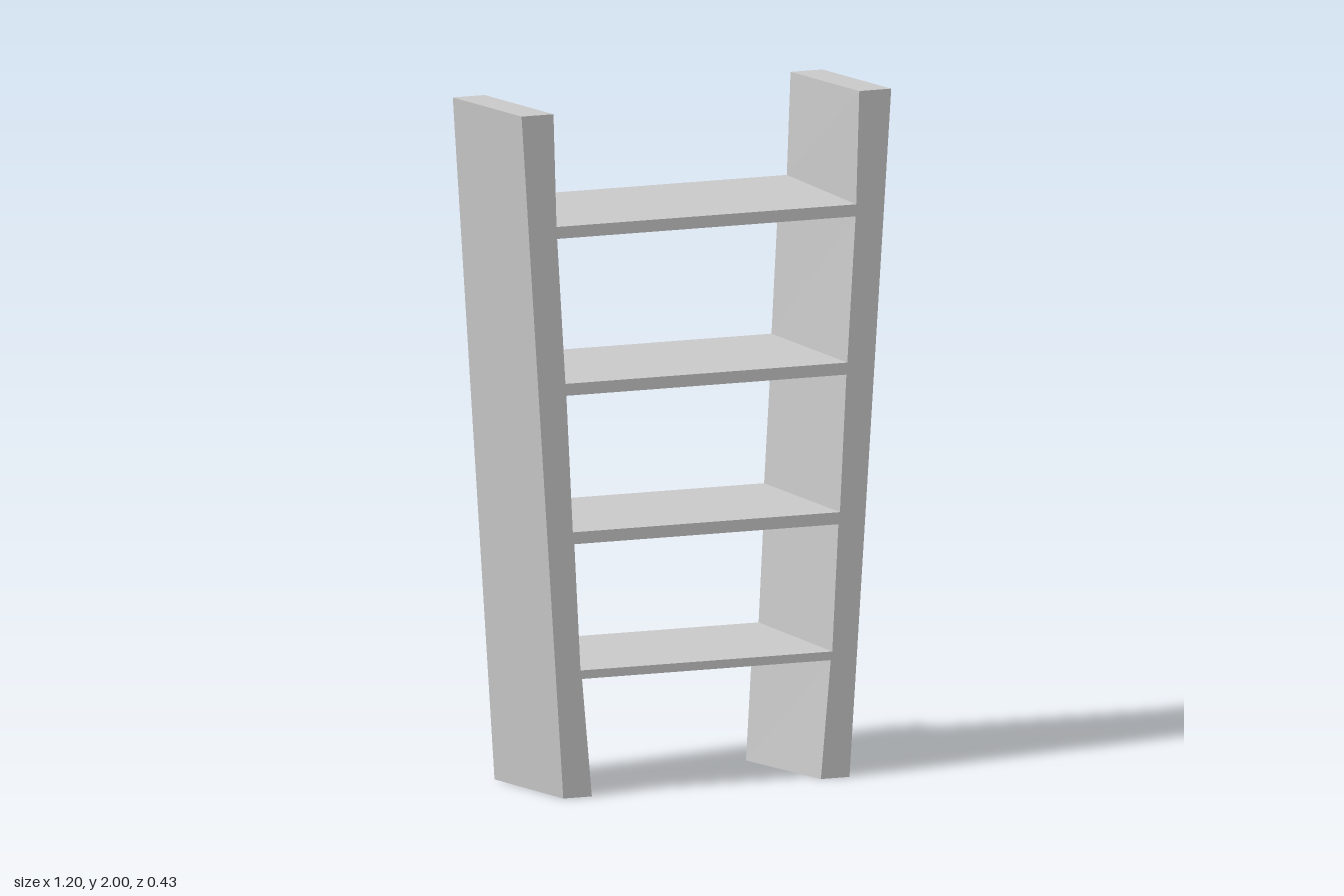
import * as THREE from 'three';

const material = new THREE.MeshStandardMaterial({ color: 0xcccccc, flatShading: true, side: THREE.DoubleSide });
const Z = 0.215; // half depth

// Per bay between shelves: [x, y] of the inner panel's corners
const bays = [
  { frontLow: [0.373, 0], frontTop: [0.405, 0.345], backTop: [0.373, 0.33], backLow: [0.353, 0] },
  { frontLow: [0.41, 0.37], frontTop: [0.43, 0.74], backTop: [0.41, 0.7], backLow: [0.394, 0.4] },
  { frontLow: [0.435, 0.775], frontTop: [0.456, 1.175], backTop: [0.432, 1.13], backLow: [0.412, 0.805] },
  { frontLow: [0.459, 1.21], frontTop: [0.486, 1.635], backTop: [0.46, 1.665], backLow: [0.436, 1.24] },
  { frontLow: [0.488, 1.67], frontTop: [0.498, 2], backTop: [0.498, 2], backLow: [0.486, 1.7] },
];
const outer = [[0.466, 0], [0.602, 2]];

// Flat four-cornered panel, corners counter-clockwise from its front
function panel(name, corners) {
  const geometry = new THREE.BufferGeometry();
  geometry.setAttribute('position', new THREE.Float32BufferAttribute(corners.flat(), 3));
  geometry.setIndex([0, 1, 2, 0, 2, 3]);
  geometry.computeVertexNormals();
  const mesh = new THREE.Mesh(geometry, material);
  mesh.name = name;
  return mesh;
}

// One hollow upright, open at the back and underneath
function upright(side) {
  const rail = new THREE.Group();
  rail.name = side > 0 ? 'leftUpright' : 'rightUpright';
  const at = ([x, y], z) => [side * x, y, z];
  const add = (name, corners) => rail.add(panel(name, side > 0 ? corners : corners.reverse()));
  const [low, top] = outer;

  add('outerPanel', [at(low, Z), at(low, -Z), at(top, -Z), at(top, Z)]);
  const tip = bays[bays.length - 1].frontTop;
  add('topCap', [at(top, Z), at(top, -Z), at(tip, -Z), at(tip, Z)]);

  // Inner panels, one in each bay
  for (const b of bays) {
    add('innerPanel', [at(b.backLow, -Z), at(b.frontLow, Z), at(b.frontTop, Z), at(b.backTop, -Z)]);
  }

  // Front face follows the outer slope and the bays' front edges
  const edge = bays.flatMap((b) => [b.frontLow, b.frontTop]);
  const outline = [low, top, ...edge.reverse()].map(([x, y]) => new THREE.Vector2(side * x, y));
  const face = new THREE.Mesh(new THREE.ShapeGeometry(new THREE.Shape(outline)), material);
  face.name = 'frontFace';
  face.position.z = Z;
  rail.add(face);
  return rail;
}

// Shelf: a board rising slightly to the back, with a lip at the front
function shelf(below, above) {
  const group = new THREE.Group();
  group.name = 'shelf';
  const [lx, ly] = below.frontTop;
  const [fx, fy] = above.frontLow;
  const [bx, by] = above.backLow;
  group.add(
    panel('board', [[-fx, fy, Z], [fx, fy, Z], [bx, by, -Z], [-bx, by, -Z]]),
    panel('lip', [[-lx, ly, Z], [lx, ly, Z], [fx, fy, Z], [-fx, fy, Z]]),
  );
  return group;
}

export function createModel() {
  const model = new THREE.Group();
  model.name = 'shelfUnit';
  model.add(upright(1), upright(-1));
  for (let i = 1; i < bays.length; i++) model.add(shelf(bays[i - 1], bays[i]));
  return model;
}
